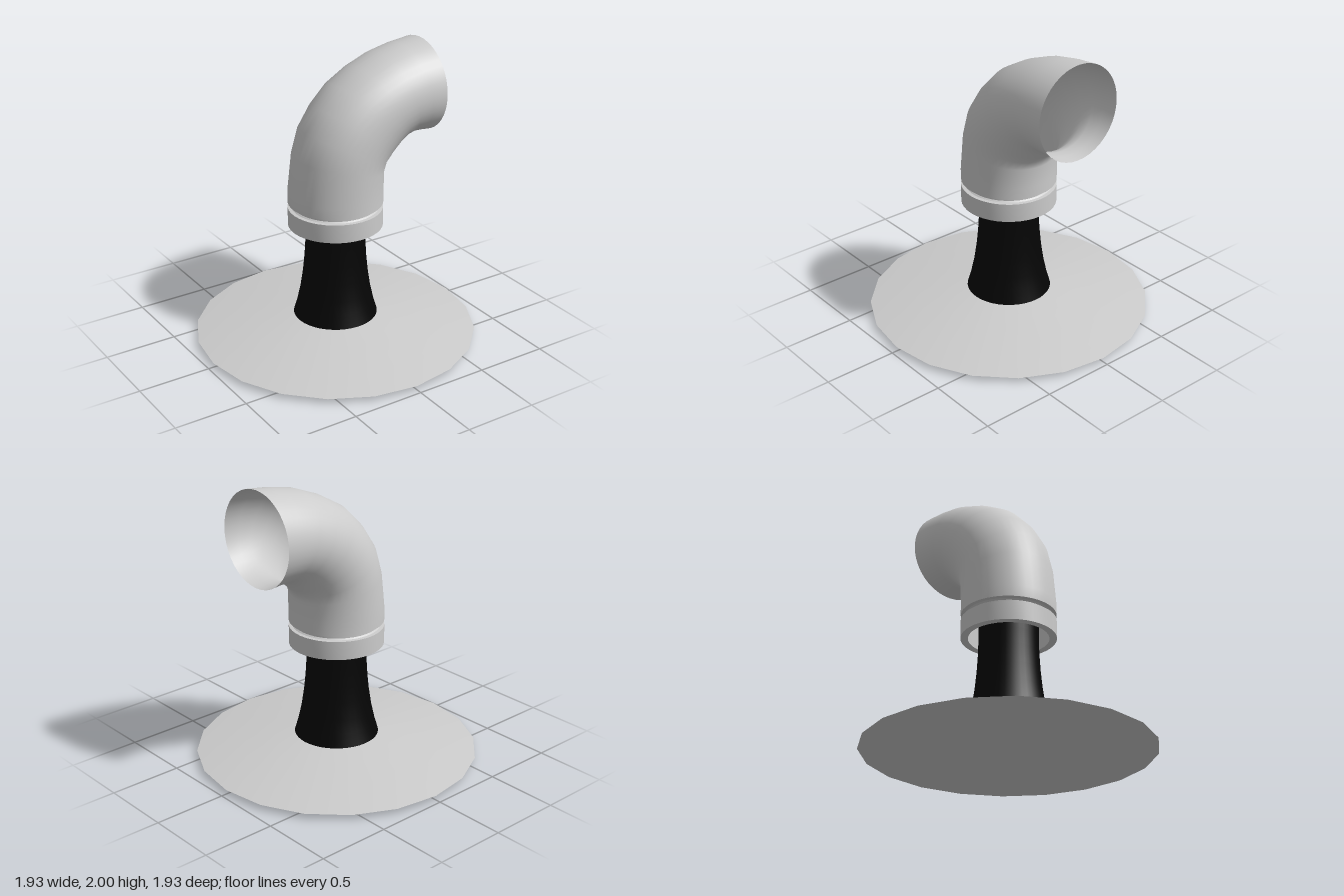
import * as THREE from 'three';
import { toCreasedNormals } from 'three/addons/utils/BufferGeometryUtils.js';

const grey = new THREE.MeshStandardMaterial({ color: 0xcccccc });
const greyThin = new THREE.MeshStandardMaterial({ color: 0xcccccc, side: THREE.DoubleSide });
const black = new THREE.MeshStandardMaterial({ color: 0x050505 });

// Turned part from [radius, y] pairs, keeping sharp edges sharp
function turned(name, profile, sides, material) {
  const points = profile.map(([r, y]) => new THREE.Vector2(r, y));
  const geometry = toCreasedNormals(new THREE.LatheGeometry(points, sides), 0.5);
  const mesh = new THREE.Mesh(geometry, material);
  mesh.name = name;
  return mesh;
}

// Bent pipe: each section spans from the outer to the inner side of the bend
function bentPipe(sections, radius, sides) {
  const positions = [];
  const index = [];
  sections.forEach(([ox, oy, ix, iy], i) => {
    for (let j = 0; j < sides; j++) {
      const a = (j / sides) * Math.PI * 2;
      const t = (1 + Math.cos(a)) / 2;
      positions.push(ox + (ix - ox) * t, oy + (iy - oy) * t, radius * Math.sin(a));
      if (i === sections.length - 1) continue;
      const k = (j + 1) % sides;
      const p = i * sides + j;
      const q = i * sides + k;
      index.push(p, p + sides, q, q, p + sides, q + sides);
    }
  });
  const geometry = new THREE.BufferGeometry();
  geometry.setAttribute('position', new THREE.Float32BufferAttribute(positions, 3));
  geometry.setIndex(index);
  geometry.computeVertexNormals();
  return geometry;
}

export function createModel() {
  const model = new THREE.Group();
  model.name = 'ventPipe';

  // Wide shallow base disc with a slightly domed underside
  model.add(turned('baseFlange', [[0, 0], [0.963, 0.03], [0.29, 0.145], [0, 0.145]], 20, grey));

  // Flared dark stem
  model.add(turned('stem', [
    [0.288, 0.14], [0.262, 0.23], [0.24, 0.33], [0.222, 0.45],
    [0.21, 0.57], [0.202, 0.7], [0.2, 0.81], [0.2, 0.95], [0, 0.95],
  ], 40, black));

  // Hollow collar with a groove below the elbow
  model.add(turned('collar', [
    [0.27, 0.985], [0.27, 0.81], [0.32, 0.81], [0.32, 0.938], [0.296, 0.94],
    [0.286, 0.948], [0.286, 0.962], [0.296, 0.971], [0.32, 0.975],
  ], 40, greyThin));

  // Elbow, open at the mouth
  const elbow = new THREE.Mesh(bentPipe([
    [-0.32, 0.975, 0.32, 0.975],
    [-0.32, 1.05, 0.32, 1.05],
    [-0.285, 1.32, 0.32, 1.18],
    [-0.23, 1.5, 0.337, 1.23],
    [-0.13, 1.65, 0.38, 1.275],
    [0, 1.78, 0.43, 1.322],
    [0.165, 1.875, 0.48, 1.362],
    [0.34, 1.945, 0.53, 1.374],
    [0.5, 1.98, 0.6, 1.37],
    [0.662, 2, 0.672, 1.36],
  ], 0.32, 40), greyThin);
  elbow.name = 'elbow';
  model.add(elbow);

  return model;
}
